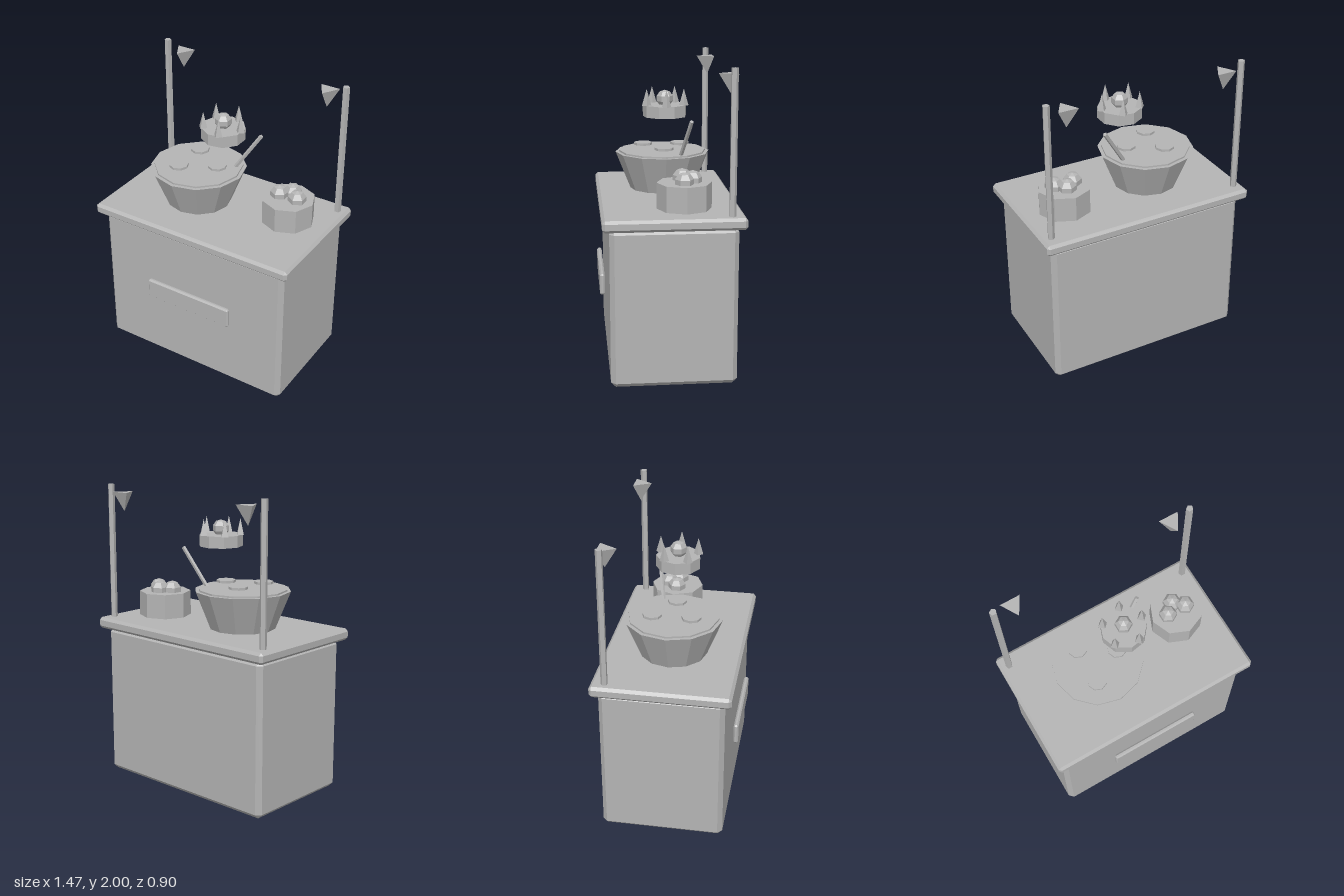
import * as THREE from 'three';
import { ConvexGeometry } from 'three/addons/geometries/ConvexGeometry.js';

export function createModel() {
  const model = new THREE.Group();
  model.name = 'foodStall';
  const grey = new THREE.MeshStandardMaterial({ color: 0xb4b4b4, flatShading: true });
  grey.name = 'plain grey';

  function add(name, geometry, x, y, z, parent = model) {
    const mesh = new THREE.Mesh(geometry, grey);
    mesh.name = name;
    mesh.position.set(x, y, z);
    parent.add(mesh);
    return mesh;
  }

  function group(name, x, y, z) {
    const g = new THREE.Group();
    g.name = name;
    g.position.set(x, y, z);
    model.add(g);
    return g;
  }

  // Box with every edge cut by a flat bevel
  function chamferBox(w, h, d, b) {
    const points = [];
    for (const sx of [-1, 1]) for (const sy of [-1, 1]) for (const sz of [-1, 1]) {
      const x = w / 2, y = h / 2, z = d / 2;
      points.push(new THREE.Vector3(sx * x, sy * (y - b), sz * (z - b)));
      points.push(new THREE.Vector3(sx * (x - b), sy * y, sz * (z - b)));
      points.push(new THREE.Vector3(sx * (x - b), sy * (y - b), sz * z));
    }
    return new ConvexGeometry(points);
  }

  // Low-poly ball with six sides
  const ball = (r) => new THREE.SphereGeometry(r, 6, 5).rotateY(Math.PI / 2);

  // Cabinet, counter and front plate
  add('cabinet', chamferBox(1.374, 1.025, 0.8, 0.03), 0, 0.5125, 0);
  add('counter', chamferBox(1.468, 0.075, 0.89, 0.018), 0, 1.058, 0);
  add('frontPlate', chamferBox(0.635, 0.14, 0.032, 0.01), 0, 0.565, 0.435);

  // Back poles and hanging pennants
  for (const [side, s] of [['left', 1], ['right', -1]]) {
    add(side + 'Pole', new THREE.CylinderGeometry(0.023, 0.023, 0.91, 5).rotateY(Math.PI),
      s * 0.67, 1.545, -0.354);
    add(side + 'Pennant', new THREE.CylinderGeometry(0.077, 0, 0.126, 3), s * 0.544, 1.892, -0.353);
  }

  // Soup bowl with floating slices
  const bowl = group('soupBowl', -0.193, 0, 0);
  add('bowl', new THREE.CylinderGeometry(0.318, 0.218, 0.252, 12), 0, 1.221, 0, bowl);
  add('soup', new THREE.CylinderGeometry(0.294, 0.294, 0.03, 12), 0, 1.343, 0, bowl);
  for (let i = 0; i < 3; i++) {
    const a = i * Math.PI * 2 / 3;
    add('slice', new THREE.CylinderGeometry(0.063, 0.063, 0.016, 8),
      0.145 * Math.cos(a), 1.387, 0.145 * Math.sin(a), bowl);
  }

  // Ladle handle leaning out of the bowl
  const from = new THREE.Vector3(-0.07, 1.2, -0.073);
  const to = new THREE.Vector3(0.19, 1.605, -0.158);
  const along = to.clone().sub(from);
  const mid = from.clone().add(to).multiplyScalar(0.5);
  const ladle = add('ladle', new THREE.CylinderGeometry(0.014, 0.014, along.length(), 5), mid.x, mid.y, mid.z);
  ladle.quaternion.setFromUnitVectors(new THREE.Vector3(0, 1, 0), along.normalize());

  // Pot with three buns
  const pot = group('bunPot', 0.447, 0, -0.081);
  add('pot', new THREE.CylinderGeometry(0.175, 0.175, 0.166, 8), 0, 1.184, 0, pot);
  for (const [x, z] of [[0, -0.053], [-0.065, 0.006], [0.065, 0.006]]) {
    add('bun', ball(0.063), x, 1.28, z, pot);
  }

  // Floating crown with five spikes and a centre ball
  const crown = group('crown', 0, 0, 0);
  add('crownBase', new THREE.CylinderGeometry(0.145, 0.145, 0.077, 9).rotateY(-Math.PI / 2), 0, 1.654, 0, crown);
  add('crownBall', ball(0.056), 0, 1.732, 0, crown);
  for (let i = 0; i < 5; i++) {
    const a = i * Math.PI * 2 / 5;
    add('crownSpike', new THREE.ConeGeometry(0.031, 0.11, 4),
      0.128 * Math.cos(a), 1.745, 0.128 * Math.sin(a), crown);
  }

  return model;
}
